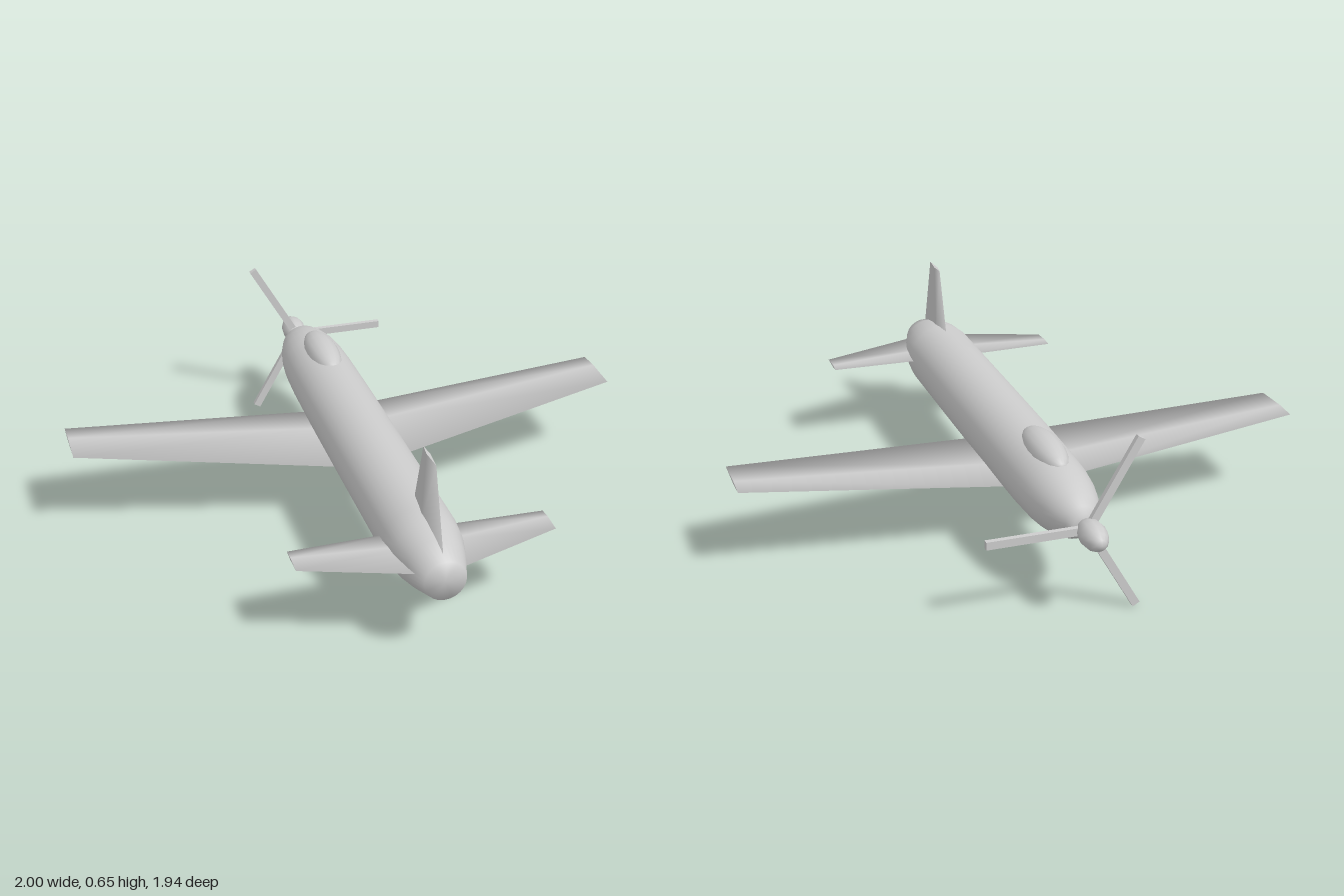
import * as THREE from 'three';

const AXIS_Y = 0.305; // height of the fuselage centre line

// Tapered lens-section surface spanning x; each end is { x, y, z0, z1, t }
function foil(root, tip) {
  const ring = ({ x, y, z0, z1, t }) => {
    const zm = z0 + (z1 - z0) * 0.38;
    return [[x, y, z0], [x, y + t / 2, zm], [x, y, z1], [x, y - t / 2, zm]];
  };
  const a = ring(root), b = ring(tip);
  const side = Math.sign(tip.x - root.x);
  const pos = [...a, ...b, ...a, ...b].flat(); // second pair of rings is for the flat ends
  // normals roll smoothly around the leading edge, top, trailing edge and bottom
  const around = [[0, 0, -1], [0, 1, 0], [0, 0, 1], [0, -1, 0]];
  const end = (s) => Array(4).fill([s, 0, 0]);
  const nor = [...around, ...around, ...end(-side), ...end(side)].flat();
  const idx = [];
  for (let i = 0; i < 4; i++) {
    const j = (i + 1) % 4;
    idx.push([i, j, j + 4], [i, j + 4, i + 4]);
  }
  idx.push([8, 10, 9], [8, 11, 10], [12, 13, 14], [12, 14, 15]);
  const geo = new THREE.BufferGeometry();
  geo.setAttribute('position', new THREE.Float32BufferAttribute(pos, 3));
  geo.setAttribute('normal', new THREE.Float32BufferAttribute(nor, 3));
  // keep faces outward on both sides of the aircraft
  geo.setIndex(idx.flatMap(([p, q, r]) => (side < 0 ? [p, r, q] : [p, q, r])));
  return geo;
}

export function createModel() {
  const model = new THREE.Group();
  model.name = 'airplane';
  const grey = new THREE.MeshStandardMaterial({ color: 0xcccccc });
  grey.name = 'grey';

  const add = (name, geo, parent = model) => {
    const mesh = new THREE.Mesh(geo, grey);
    mesh.name = name;
    parent.add(mesh);
    return mesh;
  };
  const ellipsoid = (name, ws, hs, x, y, z) => {
    const geo = new THREE.SphereGeometry(1, ws, hs).rotateX(Math.PI / 2).scale(x, y, z);
    return add(name, geo);
  };

  // Fuselage: radius along the length, nose first
  const profile = [
    [0, -0.822], [0.037, -0.82], [0.055, -0.797], [0.08, -0.755], [0.098, -0.7],
    [0.111, -0.64], [0.119, -0.57], [0.124, -0.45], [0.127, -0.2], [0.128, 0.2],
    [0.128, 0.72], [0.12, 0.8], [0.1, 0.88], [0.07, 0.97], [0, 0.97],
  ].map(([r, z]) => new THREE.Vector2(r, z));
  const body = new THREE.LatheGeometry(profile, 32).rotateX(Math.PI / 2);
  add('fuselage', body).position.y = AXIS_Y;

  // Canopy and propeller hub
  ellipsoid('canopy', 16, 10, 0.06, 0.055, 0.165).position.set(0, 0.409, -0.455);
  ellipsoid('spinner', 12, 8, 0.045, 0.046, 0.08).position.set(0, AXIS_Y, -0.893);

  // Wings and horizontal tail
  for (const s of [1, -1]) {
    const side = s > 0 ? 'left' : 'right';
    add(side + 'Wing', foil(
      { x: s * 0.095, y: 0.235, z0: -0.337, z1: 0.088, t: 0.03 },
      { x: s * 1, y: 0.33, z0: -0.29, z1: -0.075, t: 0.01 },
    ));
    add(side + 'Stabilizer', foil(
      { x: s * 0.05, y: 0.317, z0: 0.677, z1: 0.935, t: 0.014 },
      { x: s * 0.435, y: 0.317, z0: 0.687, z1: 0.802, t: 0.008 },
    ));
  }

  // Upright fin: the same surface turned to span upward
  const fin = foil(
    { x: 0.38, y: 0, z0: 0.637, z1: 0.942, t: 0.024 },
    { x: 0.655, y: 0, z0: 0.73, z1: 0.855, t: 0.012 },
  );
  add('tailFin', fin.rotateZ(Math.PI / 2));

  // Three propeller blades
  const propeller = new THREE.Group();
  propeller.name = 'propeller';
  propeller.position.set(0, AXIS_Y, -0.852);
  model.add(propeller);
  for (let i = 0; i < 3; i++) {
    const blade = new THREE.BoxGeometry(0.34, 0.027, 0.018).translate(0.17, 0, 0);
    add('blade' + (i + 1), blade, propeller).rotation.z = (i * 2 * Math.PI) / 3;
  }

  return model;
}
